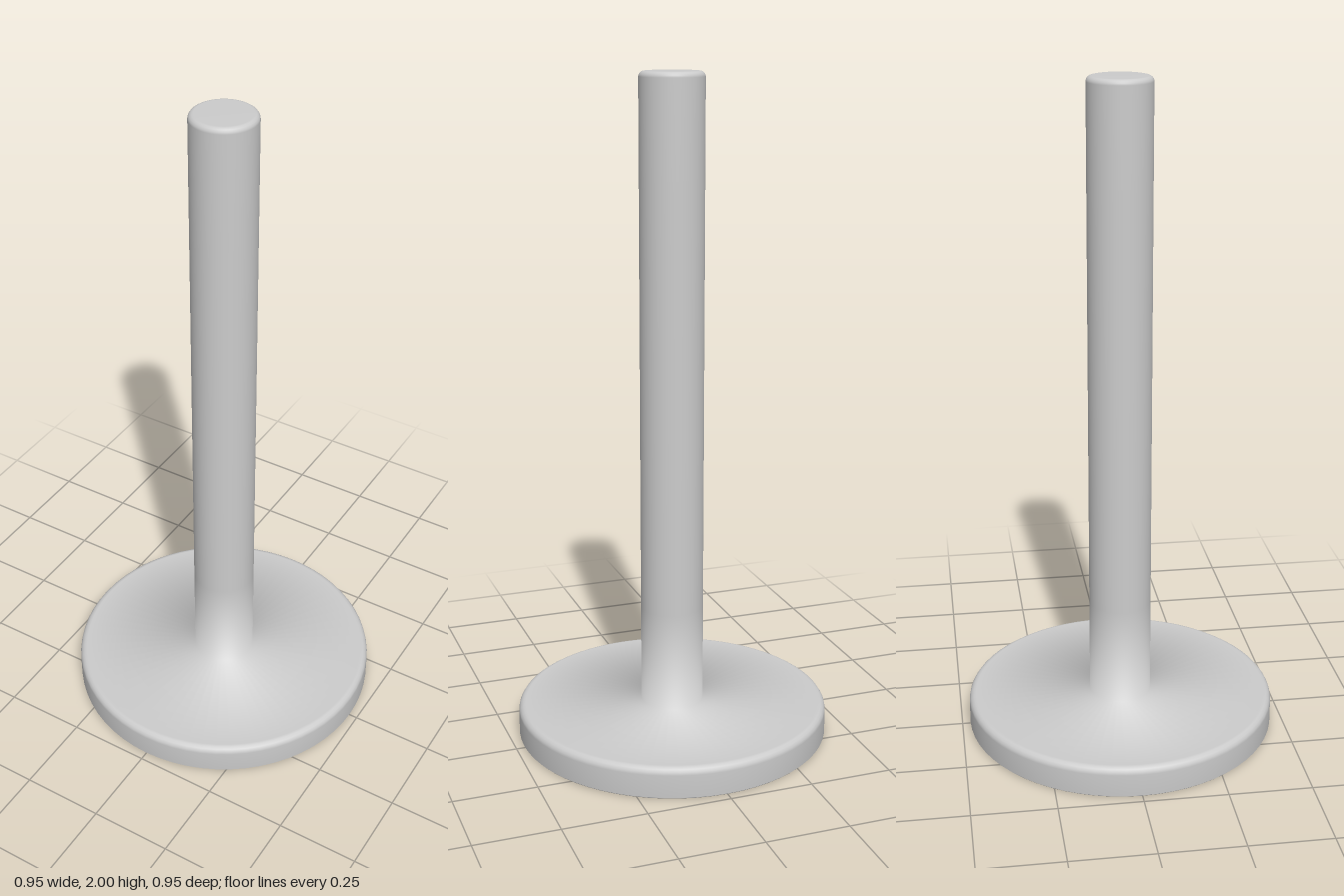
import * as THREE from 'three';

export function createModel() {
  const group = new THREE.Group();
  group.name = 'stand';
  const material = new THREE.MeshStandardMaterial({ color: 0xcccccc });

  const baseRadius = 0.475, baseHeight = 0.095, postRadius = 0.095, height = 2;

  // Quarter-round edge from a vertical wall into a flat top
  const roundedEdge = (radius, top, r, steps = 4) =>
    Array.from({ length: steps + 1 }, (_, i) => {
      const a = (i / steps) * Math.PI / 2;
      return new THREE.Vector2(radius - r + r * Math.cos(a), top - r + r * Math.sin(a));
    });

  // Disc base and post turned as one piece, softly shaded where they meet
  const profile = [
    new THREE.Vector2(0, 0),
    new THREE.Vector2(baseRadius - 0.004, 0),
    new THREE.Vector2(baseRadius, 0.004),
    ...roundedEdge(baseRadius, baseHeight, 0.022),
    new THREE.Vector2(postRadius, baseHeight),
    new THREE.Vector2(postRadius, 0.4),
    new THREE.Vector2(postRadius, 1.7),
    ...roundedEdge(postRadius, height, 0.016),
    new THREE.Vector2(0, height),
  ];
  const turned = new THREE.Mesh(new THREE.LatheGeometry(profile, 64), material);
  turned.name = 'baseAndPost';
  group.add(turned);

  return group;
}
